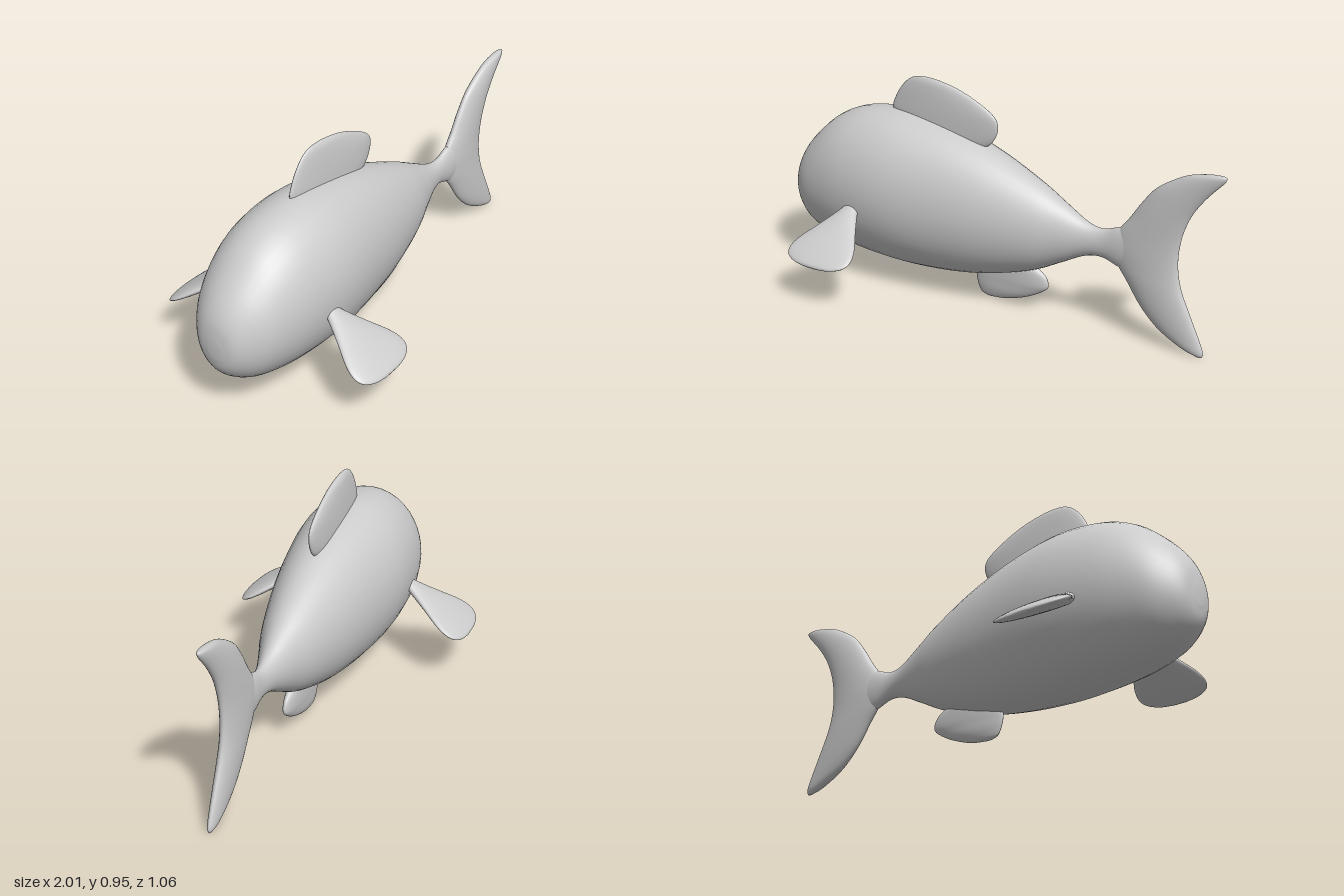
import * as THREE from 'three';

const material = new THREE.MeshStandardMaterial({ color: 0xcccccc });

// Smooth loft of elliptical rings. Each row is [position, low edge, high edge, half thickness].
// Rings stack along x with edges in y, or (upright) along y with edges in x. Thickness is in z.
function loft(name, rows, upright, steps = 48, sides = 40) {
  const spline = (pick) => new THREE.CatmullRomCurve3(
    rows.map((r) => new THREE.Vector3(...pick(r))), false, 'catmullrom', 0.5).getPoints(steps);
  const edges = spline((r) => [r[0], r[1], r[2]]);
  const widths = spline((r) => [r[3], 0, 0]);
  const pos = [], index = [];
  const put = (v, e, z) => (upright ? pos.push(e, v, z) : pos.push(v, e, z));
  edges.forEach((p, i) => {
    const mid = (p.y + p.z) / 2, half = (p.z - p.y) / 2, h = Math.max(widths[i].x, 0.001);
    for (let j = 0; j < sides; j++) {
      const t = (j / sides) * Math.PI * 2;
      const e = upright ? Math.sin(t) : Math.cos(t), z = upright ? Math.cos(t) : Math.sin(t);
      put(p.x, mid + half * e, h * z);
    }
  });
  for (let i = 0; i < steps; i++) {
    for (let j = 0; j < sides; j++) {
      const k = (j + 1) % sides, a = i * sides, b = a + sides;
      index.push(a + j, a + k, b + k, a + j, b + k, b + j);
    }
  }
  // End caps
  const last = steps * sides, c = pos.length / 3;
  for (const p of [edges[0], edges[steps]]) put(p.x, (p.y + p.z) / 2, 0);
  for (let j = 0; j < sides; j++) {
    const k = (j + 1) % sides;
    index.push(c, k, j, c + 1, last + j, last + k);
  }
  const geometry = new THREE.BufferGeometry();
  geometry.setAttribute('position', new THREE.Float32BufferAttribute(pos, 3));
  geometry.setIndex(index);
  geometry.computeVertexNormals();
  const mesh = new THREE.Mesh(geometry, material);
  mesh.name = name;
  return mesh;
}

export function createModel() {
  const model = new THREE.Group();
  model.name = 'fish';

  // Everything is built straight along x, then turned about y
  const fish = new THREE.Group();
  fish.name = 'turnedFish';
  fish.rotation.y = 0.31;
  fish.position.z = -0.188;
  model.add(fish);

  // Body, from snout to the narrow tail root
  fish.add(loft('body', [
    [-1.045, 0.31, 0.39, 0.03],
    [-1.03, 0.25, 0.47, 0.085],
    [-0.99, 0.2, 0.545, 0.135],
    [-0.92, 0.155, 0.625, 0.185],
    [-0.82, 0.122, 0.71, 0.222],
    [-0.7, 0.102, 0.765, 0.248],
    [-0.55, 0.09, 0.789, 0.26],
    [-0.4, 0.087, 0.784, 0.254],
    [-0.2, 0.1, 0.748, 0.224],
    [0, 0.135, 0.685, 0.185],
    [0.2, 0.2, 0.598, 0.132],
    [0.33, 0.266, 0.53, 0.084],
    [0.44, 0.323, 0.474, 0.046],
    [0.52, 0.335, 0.462, 0.031],
    [0.6, 0.31, 0.49, 0.032],
    [0.66, 0.31, 0.49, 0.031],
    [0.74, 0.38, 0.42, 0.02],
  ], false, 80));

  // Forked tail fin
  fish.add(loft('tailFin', [
    [0.003, 0.965, 0.99, 0.006],
    [0.025, 0.895, 0.994, 0.018],
    [0.08, 0.79, 0.972, 0.026],
    [0.16, 0.705, 0.934, 0.032],
    [0.26, 0.635, 0.888, 0.036],
    [0.33, 0.585, 0.868, 0.037],
    [0.4, 0.56, 0.861, 0.038],
    [0.47, 0.585, 0.866, 0.037],
    [0.54, 0.637, 0.882, 0.036],
    [0.62, 0.69, 0.916, 0.034],
    [0.7, 0.757, 0.972, 0.03],
    [0.77, 0.868, 1.035, 0.023],
    [0.795, 0.95, 1.05, 0.016],
    [0.803, 1.005, 1.043, 0.006],
  ], true, 64));

  // Dorsal fin
  fish.add(loft('dorsalFin', [
    [0.685, -0.49, -0.075, 0.026],
    [0.73, -0.52, -0.025, 0.03],
    [0.79, -0.545, 0, 0.03],
    [0.84, -0.53, -0.018, 0.028],
    [0.89, -0.5, -0.1, 0.024],
    [0.93, -0.462, -0.2, 0.018],
    [0.95, -0.425, -0.29, 0.01],
    [0.956, -0.39, -0.34, 0.004],
  ], true));

  // Belly fin near the tail
  fish.add(loft('analFin', [
    [0.012, -0.05, -0.01, 0.004],
    [0.025, -0.078, 0.07, 0.014],
    [0.06, -0.095, 0.165, 0.024],
    [0.1, -0.103, 0.235, 0.028],
    [0.13, -0.1, 0.262, 0.03],
    [0.17, -0.085, 0.25, 0.03],
    [0.2, -0.05, 0.21, 0.028],
    [0.25, 0, 0.12, 0.02],
  ], true));

  // Pair of fan-shaped side fins, sloping outward and down
  for (const [name, side] of [['leftPectoralFin', 1], ['rightPectoralFin', -1]]) {
    const fin = loft(name, [
      [-0.08, 0.02, 0.02],
      [0, 0.038, 0.023],
      [0.1, 0.09, 0.026],
      [0.2, 0.147, 0.025],
      [0.26, 0.163, 0.022],
      [0.3, 0.147, 0.017],
      [0.325, 0.1, 0.012],
      [0.335, 0.045, 0.005],
    ].map(([s, half, thick]) => [s, -half, half, thick]), true);
    fin.position.set(-0.605, 0.372, 0.245 * side);
    fin.rotation.x = 2.106 * side;
    fish.add(fin);
  }

  return model;
}
